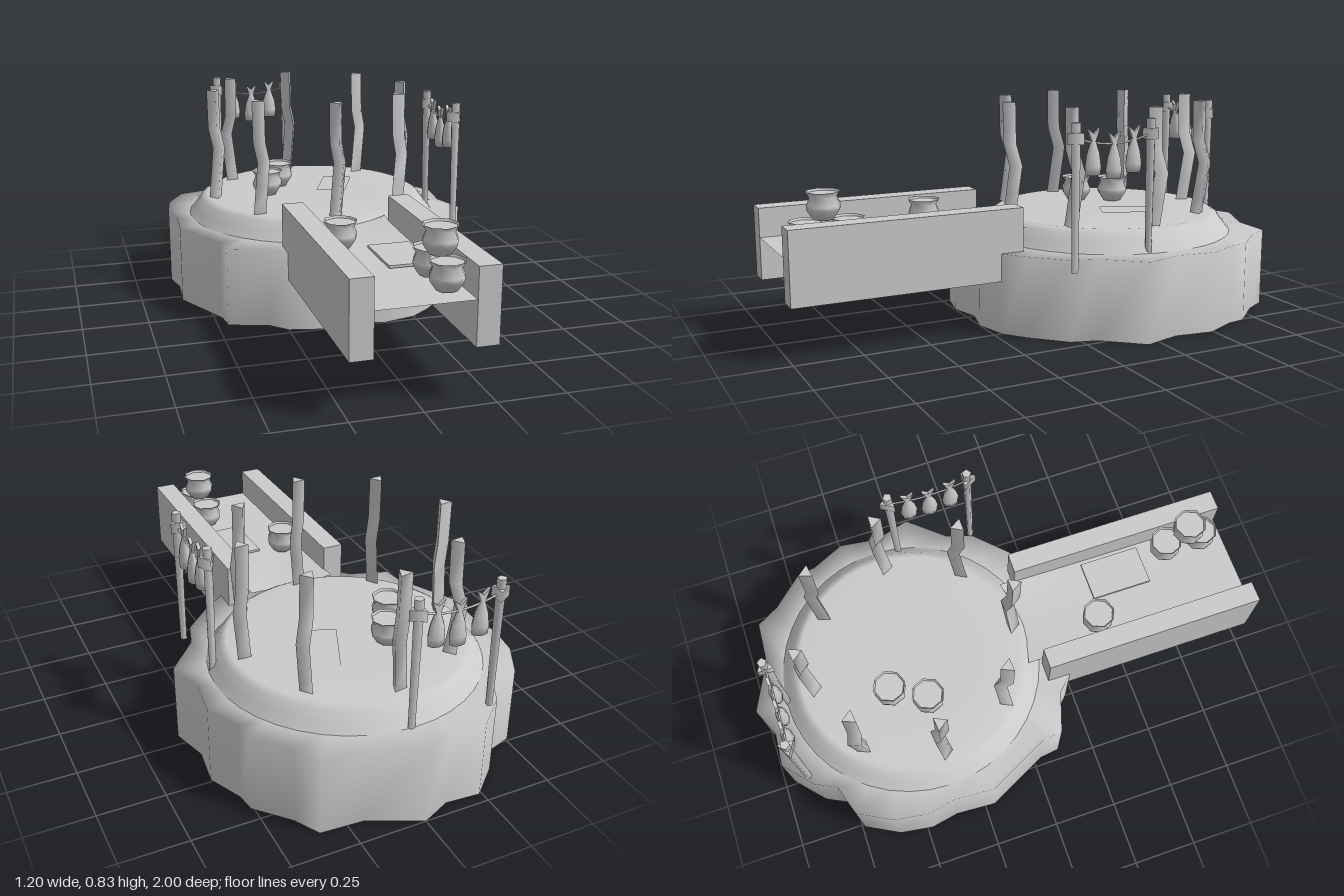
import * as THREE from 'three';

const mat = new THREE.MeshStandardMaterial({ color: 0xcccccc, side: THREE.DoubleSide });

function add(parent, name, geo, x = 0, y = 0, z = 0) {
  const mesh = new THREE.Mesh(geo, mat);
  mesh.name = name;
  mesh.position.set(x, y, z);
  parent.add(mesh);
  return mesh;
}
const points = list => list.map(p => new THREE.Vector2(...p));
const lathe = (list, sides) => new THREE.LatheGeometry(points(list), sides);

// Ragged rock outline as x, z pairs, clockwise from the back
const OUTLINE = [
  [0, -1], [0.19, -0.91], [0.35, -0.9], [0.4, -0.81], [0.51, -0.69], [0.52, -0.62], [0.58, -0.49],
  [0.56, -0.34], [0.6, -0.2], [0.48, -0.06], [0.45, 0.04], [0.33, 0.16], [0.25, 0.22], [0.12, 0.25],
  [0, 0.22], [-0.12, 0.25], [-0.25, 0.22], [-0.31, 0.16], [-0.46, 0.11], [-0.47, 0.03], [-0.59, -0.21],
  [-0.58, -0.37], [-0.6, -0.48], [-0.58, -0.61], [-0.51, -0.74], [-0.39, -0.78], [-0.35, -0.86],
  [-0.24, -0.96], [-0.11, -0.95],
];
const BASE_TOP = 0.305, FLOOR = 0.385, CX = -0.01, CZ = -0.365;

// Open-bottomed rock wall that rounds over into a ledge around the mound
function makeBase(g) {
  const pos = [], idx = [], n = OUTLINE.length;
  OUTLINE.forEach(([x, z], i) => {
    const a = Math.atan2(z - CZ, x - CX);
    pos.push(x, 0, z, x, BASE_TOP, z, CX + 0.49 * Math.cos(a), BASE_TOP, CZ + 0.49 * Math.sin(a));
    const p = 3 * i, q = 3 * ((i + 1) % n);
    for (const k of [0, 1]) idx.push(p + k, p + k + 1, q + k, q + k, p + k + 1, q + k + 1);
  });
  const rock = new THREE.BufferGeometry();
  rock.setAttribute('position', new THREE.Float32BufferAttribute(pos, 3));
  rock.setIndex(idx);
  rock.computeVertexNormals();
  add(g, 'rockBase', rock);

  const profile = [[0.51, BASE_TOP], [0.485, 0.335], [0.46, 0.37], [0.435, FLOOR], [0.3, FLOOR], [0, FLOOR]];
  add(g, 'mound', lathe(profile, 40), CX, 0, CZ);
  add(g, 'moundUnderside', new THREE.CircleGeometry(0.5, 40).rotateX(Math.PI / 2), CX, BASE_TOP - 0.002, CZ);
}

// Three-sided bent log built from stacked cross-sections
function postGeometry(dx, dz, turn) {
  const geo = new THREE.CylinderGeometry(0.029, 0.029, 0.445, 3, 4).rotateY(turn);
  const p = geo.attributes.position;
  const levels = [[0, 0], [0.1, 0.5], [0.2, 1], [0.285, 0.1], [0.445, 0]];
  for (let i = 0; i < p.count; i++) {
    const [y, bend] = levels[Math.round((p.getY(i) / 0.445 + 0.5) * 4)];
    p.setXYZ(i, p.getX(i) + bend * dx, y, p.getZ(i) + bend * dz);
  }
  geo.computeVertexNormals();
  return geo;
}

// Eight-sided pot with a thin rim, filled nearly to the top
function addPot(g, x, y, z) {
  add(g, 'pot', lathe([[0, 0], [0.037, 0], [0.06, 0.034], [0.062, 0.05], [0.05, 0.08], [0.063, 0.1]], 8), x, y, z);
  add(g, 'potFilling', new THREE.CircleGeometry(0.057, 8).rotateX(-Math.PI / 2).rotateY(Math.PI / 2), x, y + 0.092, z);
}

// Hanging fish, tail up
function makeFish() {
  const fish = new THREE.Group();
  fish.name = 'fish';
  const body = [[0, -0.13], [0.03, -0.13], [0.033, -0.1], [0.026, -0.055], [0.012, -0.015], [0.007, 0.005]];
  add(fish, 'fishBody', lathe(body, 8).scale(1, 1, 0.7));
  const tail = new THREE.Shape(points([[-0.008, -0.01], [0.008, -0.01], [0.024, 0.035], [0, 0.015], [-0.024, 0.035]]));
  add(fish, 'fishTail', new THREE.ExtrudeGeometry(tail, { depth: 0.012, bevelEnabled: false }), 0, 0, -0.006);
  return fish;
}

// Two poles, a sagging rope and three fish, spanning local x
function makeRack(span, poleBottom) {
  const rack = new THREE.Group();
  rack.name = 'dryingRack';
  const h = span / 2, height = 0.8 - poleBottom;
  for (const s of [-1, 1]) {
    const turn = s * Math.PI / 2;
    add(rack, 'rackPole', new THREE.CylinderGeometry(0.018, 0.013, height, 5).rotateY(turn), s * h, poleBottom + height / 2, 0);
    add(rack, 'poleBinding', new THREE.CylinderGeometry(0.034, 0.034, 0.04, 3).rotateY(turn), s * h, 0.745, 0);
  }
  const rope = new THREE.CatmullRomCurve3([[-h, 0.745], [-h / 2, 0.725], [0, 0.718], [h / 2, 0.725], [h, 0.745]]
    .map(([x, y]) => new THREE.Vector3(x, y, 0)));
  add(rack, 'rope', new THREE.TubeGeometry(rope, 12, 0.004, 5));
  for (const [x, y] of [[-0.085, 0.742], [0, 0.725], [0.082, 0.742]]) {
    const fish = makeFish();
    fish.position.set(x, y, 0);
    rack.add(fish);
  }
  return rack;
}

// Raised walkway: side walls, a thin floor whose inner end sags across its width, and a mat
function makeWalkway(g) {
  for (const s of [-1, 1])
    add(g, 'walkwayWall', new THREE.BoxGeometry(0.08, 0.27, 0.87), s * 0.21, 0.335, 0.565);
  const floor = new THREE.PlaneGeometry(0.35, 0.93, 8, 8).rotateX(-Math.PI / 2);
  const p = floor.attributes.position;
  for (let i = 0; i < p.count; i++) {
    const inner = 0.5 - p.getZ(i) / 0.93, across = (p.getX(i) / 0.175) ** 2;
    p.setY(i, 0.36 + inner ** 3 * (0.02 * across - 0.005));
    p.setZ(i, p.getZ(i) + 0.535 + 0.03 * inner * (1 - across));
  }
  floor.computeVertexNormals();
  add(g, 'walkwayFloor', floor);
  add(g, 'walkwayMat', new THREE.BoxGeometry(0.155, 0.01, 0.24), 0.075, 0.368, 0.53);
}

export function createModel() {
  const g = new THREE.Group();
  g.name = 'rockCamp';
  makeBase(g);
  makeWalkway(g);

  // Ring of bent logs
  for (let i = 0; i < 8; i++) {
    const a = i * Math.PI / 4;
    const dx = i === 5 ? -0.02 : 0.022;
    add(g, 'logPost', postGeometry(dx, -0.018, -1.3 * a), -0.015 + 0.4 * Math.cos(a), FLOOR, -0.347 + 0.405 * Math.sin(a));
  }

  // Pots on the mound and along the walkway
  for (const [x, z] of [[-0.125, -0.475], [-0.2, -0.345]]) addPot(g, x, FLOOR, z);
  for (const [x, y, z] of [[-0.097, 0.366, 0.385], [0.105, 0.366, 0.75], [0.105, 0.366, 0.9], [0.105, 0.466, 0.835]])
    addPot(g, x, y, z);

  // Sleeping mat on the mound
  const moundMat = add(g, 'moundMat', new THREE.PlaneGeometry(0.12, 0.24).rotateX(-Math.PI / 2), 0.11, FLOOR + 0.004, -0.42);
  moundMat.rotation.y = -0.4;

  // Drying racks at the back and on the left edge
  const back = makeRack(0.31, 0.28);
  back.position.set(-0.155, 0, -0.87);
  const side = makeRack(0.31, 0.265);
  side.position.set(0.475, 0, -0.115);
  side.rotation.y = Math.PI / 2;
  g.add(back, side);
  return g;
}
